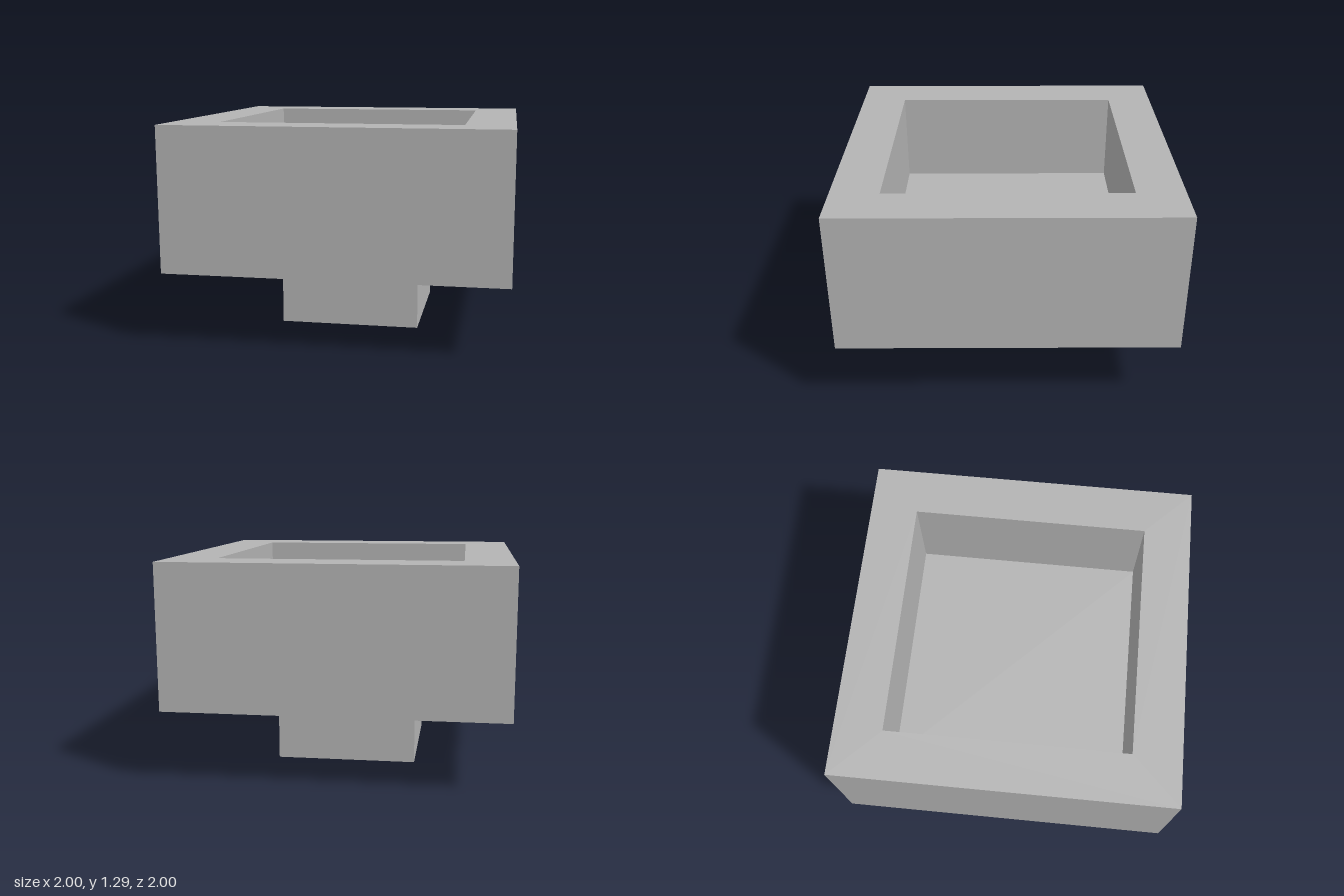
import * as THREE from 'three';

// Square-sided solid from a [half width, height] profile, listed from the bottom outward and up
function squareTurned(name, profile, material) {
  const points = profile.map(([half, y]) => new THREE.Vector2(half * Math.SQRT2, y));
  const geometry = new THREE.LatheGeometry(points, 4, Math.PI / 4).toNonIndexed();
  geometry.computeVertexNormals(); // flat faces
  const mesh = new THREE.Mesh(geometry, material);
  mesh.name = name;
  return mesh;
}

export function createModel() {
  const group = new THREE.Group();
  group.name = 'squarePlanter';

  const grey = new THREE.MeshStandardMaterial({ color: 0xb3b3b3 });
  grey.name = 'stone grey';

  const u = 2 / 7; // wall thickness
  const stemHalf = 1.5 * u, stemTop = 1.5 * u;
  const outer = 3.5 * u, inner = 2.5 * u;
  const rim = 4.5 * u, floor = 2.5 * u;

  // Solid square foot
  group.add(squareTurned('foot', [[0, 0], [stemHalf, 0], [stemHalf, stemTop]], grey));

  // Hollow square bowl: underside, outer walls, rim, inner walls, floor
  group.add(squareTurned('bowl', [
    [stemHalf, stemTop], [outer, stemTop], [outer, rim],
    [inner, rim], [inner, floor], [0, floor],
  ], grey));

  return group;
}
